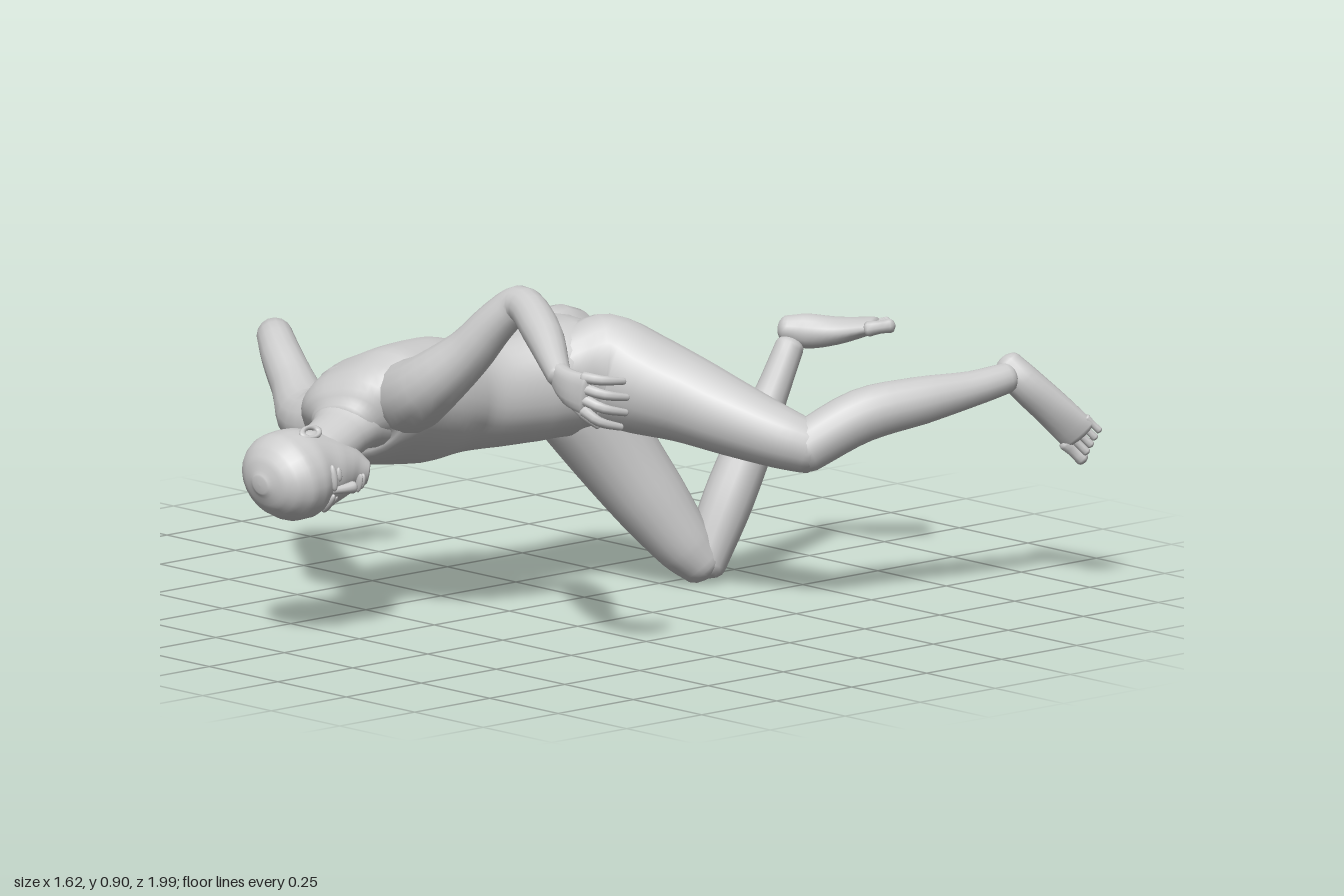
import * as THREE from 'three';

const V = (a) => new THREE.Vector3(a[0], a[1], a[2]);
const material = new THREE.MeshStandardMaterial({ color: 0xcccccc });

// Skin a tube of ellipses over sections [x, y, z, halfWidth, halfHeight, roll], with rounded ends.
function loft(name, sections, up = [0, 1, 0], { sides = 16, steps = 4, round = 0.7, square = 1, shape } = {}) {
  const path = new THREE.CatmullRomCurve3(sections.map(V));
  const size = new THREE.CatmullRomCurve3(sections.map((s) => new THREE.Vector3(s[3], s[4] ?? s[3], s[5] ?? 0)));
  const rings = [];
  const n = (sections.length - 1) * steps;
  const caps = [0.01, 0.4, 0.75, 0.93];
  const add = (t, scale, push) => {
    const tan = path.getTangent(t);
    const s = size.getPoint(t);
    const c = path.getPoint(t).addScaledVector(tan, push * Math.min(s.x, s.y) * round);
    const e1 = V(up).cross(tan).normalize();
    const e2 = tan.clone().cross(e1);
    const a = e1.clone().multiplyScalar(Math.cos(s.z)).addScaledVector(e2, -Math.sin(s.z));
    const b = e2.clone().multiplyScalar(Math.cos(s.z)).addScaledVector(e1, Math.sin(s.z));
    rings.push({ c, a, b, w: s.x * scale, h: s.y * scale, t });
  };
  caps.forEach((k) => add(0, k, -Math.sqrt(1 - k * k)));
  for (let i = 0; i <= n; i++) add(i / n, 1, 0);
  caps.slice().reverse().forEach((k) => add(1, k, Math.sqrt(1 - k * k)));

  const pos = [];
  const index = [];
  const pw = (v) => Math.sign(v) * Math.abs(v) ** square;
  rings.forEach((r, i) => {
    for (let j = 0; j < sides; j++) {
      const q = (j / sides) * Math.PI * 2;
      const k = shape ? shape(q, r.t) : 1;
      const p = r.c.clone().addScaledVector(r.a, r.w * k * pw(Math.cos(q))).addScaledVector(r.b, r.h * k * pw(Math.sin(q)));
      pos.push(p.x, p.y, p.z);
      if (i === rings.length - 1) continue;
      const o = i * sides, m = (j + 1) % sides;
      index.push(o + j, o + m, o + sides + j, o + m, o + sides + m, o + sides + j);
    }
  });
  const g = new THREE.BufferGeometry();
  g.setAttribute('position', new THREE.Float32BufferAttribute(pos, 3));
  g.setIndex(index);
  g.computeVertexNormals();
  const mesh = new THREE.Mesh(g, material);
  mesh.name = name;
  return mesh;
}

function ball(name, p, s, turn = 0) {
  const m = new THREE.Mesh(new THREE.SphereGeometry(1, 18, 12), material);
  m.name = name;
  m.position.set(...p);
  m.scale.set(...s);
  m.rotation.y = turn;
  return m;
}

function group(name, ...parts) {
  const g = new THREE.Group();
  g.name = name;
  g.add(...parts);
  return g;
}

// Head in its own frame: x = its left, y = crown, z = face
function makeHead() {
  const head = group('head', loft('skull', [
    [0, -0.168, 0.078, 0.03, 0.026], [0, -0.14, 0.05, 0.058, 0.06], [0, -0.1, 0.024, 0.082, 0.09],
    [0, -0.05, 0.002, 0.099, 0.11], [0, 0, -0.008, 0.109, 0.123], [0, 0.045, -0.01, 0.107, 0.122],
    [0, 0.085, -0.01, 0.086, 0.1], [0, 0.107, -0.01, 0.06, 0.07], [0, 0.12, -0.01, 0.028, 0.032],
  ], [0, 0, 1], { sides: 24, round: 0.2 }));
  head.add(loft('nose', [[0, -0.025, 0.1, 0.009], [0, -0.06, 0.108, 0.012], [0, -0.083, 0.112, 0.016, 0.014]], [0, 0, 1], { sides: 10 }));
  head.add(ball('upperLip', [0, -0.112, 0.105], [0.026, 0.006, 0.01]));
  head.add(ball('lowerLip', [0, -0.125, 0.102], [0.022, 0.007, 0.01]));
  for (const s of [-1, 1]) {
    head.add(ball('brow', [s * 0.036, -0.02, 0.098], [0.034, 0.01, 0.011], s * 0.4));
    head.add(ball('eye', [s * 0.038, -0.044, 0.094], [0.018, 0.008, 0.006], s * 0.4));
    const ear = new THREE.Mesh(new THREE.TorusGeometry(0.02, 0.007, 8, 16), material);
    ear.name = 'ear';
    ear.scale.set(0.8, 1.35, 1);
    ear.rotation.y = s * 1.2;
    ear.position.set(s * 0.107, -0.03, -0.01);
    head.add(ear, ball('innerEar', [s * 0.1, -0.03, -0.008], [0.01, 0.026, 0.016]));
  }
  const F = new THREE.Vector3(0.93, -0.32, -0.08).normalize();
  const L = new THREE.Vector3(0, -0.08, 1).cross(F).normalize();
  const U = F.clone().cross(L);
  head.quaternion.setFromRotationMatrix(new THREE.Matrix4().makeBasis(L, U, F));
  head.position.set(-0.088, 0.414, 0.875);
  return head;
}

// Palm plus bent digits, each digit as [base, middle, tip]
function makeHand(name, palm, up, digits) {
  const hand = group(name, loft('palm', palm, up, { square: 0.8 }));
  digits.forEach((d, i) => hand.add(loft(i ? 'finger' : 'thumb',
    d.map((p, k) => [...p, [0.015, 0.0125, 0.009][k]]), up, { sides: 8, steps: 3 })));
  return hand;
}

// Foot from heel to ball with five toes fanned across its end; big is the side of the big toe
function makeFoot(name, sections, sole, big) {
  const foot = group(name, loft('sole', sections, sole));
  const end = V(sections.at(-1));
  const dir = end.clone().sub(V(sections.at(-2))).normalize();
  const side = V(sole).cross(dir).normalize().multiplyScalar(big);
  for (let i = 0; i < 5; i++) {
    const r = i ? 0.0125 - i * 0.0007 : 0.018;
    const a = end.clone().addScaledVector(side, 0.041 - i * 0.0215).addScaledVector(dir, -0.004 * i);
    const b = a.clone().addScaledVector(dir, 0.054 - i * 0.003);
    foot.add(loft('toe', [[...a, r * 1.1], [...a.lerp(b, 0.5), r * 0.9], [...b, r]], sole, { sides: 8, steps: 2 }));
  }
  return foot;
}

export function createModel() {
  const model = new THREE.Group();
  model.name = 'recliningFigure';

  // Torso, rolled at the shoulders and level at the hips, with a shallow spine groove
  const groove = (q, t) => 1 - 0.07 * Math.exp(-(((q - Math.PI / 2) / 0.25) ** 2)) * Math.sin(Math.PI * t);
  model.add(loft('torso', [
    [-0.135, 0.51, 0.68, 0.09, 0.065, 0.2], [-0.15, 0.53, 0.635, 0.16, 0.105, 0.34],
    [-0.162, 0.532, 0.56, 0.203, 0.138, 0.4], [-0.167, 0.527, 0.43, 0.195, 0.153, 0.38],
    [-0.16, 0.522, 0.3, 0.17, 0.142, 0.25], [-0.135, 0.517, 0.2, 0.15, 0.133, 0.14],
    [-0.11, 0.53, 0.1, 0.145, 0.143, 0.05], [-0.085, 0.547, 0, 0.162, 0.152, 0],
    [-0.065, 0.53, -0.08, 0.155, 0.122, 0], [-0.06, 0.5, -0.14, 0.1, 0.08, 0],
  ], [0, 1, 0], { sides: 32, square: 0.93, round: 0.5, shape: groove }));
  model.add(
    loft('neck', [
      [-0.16, 0.535, 0.57, 0.15, 0.1, 0.3], [-0.14, 0.515, 0.645, 0.105, 0.08, 0.2],
      [-0.12, 0.485, 0.71, 0.078, 0.065], [-0.1, 0.45, 0.8, 0.074, 0.068],
    ], [0, 1, 0], { sides: 20 }),
    makeHead(),
  );

  // Arms, each beginning deep inside the chest
  model.add(loft('rightArm', [
    [-0.19, 0.51, 0.53, 0.07], [-0.29, 0.485, 0.555, 0.092], [-0.37, 0.468, 0.57, 0.08], [-0.5, 0.525, 0.51, 0.058],
    [-0.59, 0.58, 0.47, 0.051], [-0.67, 0.612, 0.42, 0.045], [-0.735, 0.53, 0.33, 0.046], [-0.775, 0.4, 0.2, 0.03],
  ]));
  model.add(loft('leftArm', [
    [-0.12, 0.545, 0.52, 0.07], [-0.03, 0.575, 0.555, 0.092], [0.06, 0.62, 0.575, 0.082], [0.17, 0.715, 0.54, 0.062],
    [0.24, 0.8, 0.51, 0.052], [0.3, 0.85, 0.49, 0.046], [0.42, 0.812, 0.53, 0.049], [0.58, 0.73, 0.615, 0.031],
  ], [0, 0, 1]));

  // Hands
  const right = [[[-0.76, 0.355, 0.195], [-0.725, 0.32, 0.185], [-0.7, 0.285, 0.14]]];
  const left = [[[0.62, 0.68, 0.615], [0.655, 0.64, 0.6], [0.68, 0.613, 0.575]]];
  for (let i = 0; i < 4; i++) {
    const reach = [0, 0.012, 0.008, -0.01][i];
    right.push([[-0.785, 0.365 - i * 0.024, 0.11], [-0.775, 0.345 - i * 0.027, 0.06 - reach], [-0.733, 0.335 - i * 0.03, 0.03 - reach]]);
    left.push([[0.685, 0.742 - i * 0.028, 0.625], [0.725 + reach, 0.738 - i * 0.035, 0.605], [0.74 + reach, 0.73 - i * 0.039, 0.545]]);
  }
  model.add(makeHand('rightHand', [
    [-0.772, 0.41, 0.21, 0.024, 0.03], [-0.78, 0.365, 0.16, 0.023, 0.042], [-0.782, 0.335, 0.115, 0.018, 0.048],
  ], [0, 1, -0.3], right));
  model.add(makeHand('leftHand', [
    [0.57, 0.735, 0.61, 0.024, 0.03], [0.63, 0.71, 0.625, 0.024, 0.046], [0.685, 0.7, 0.625, 0.018, 0.052],
  ], [0, 1, 0], left));

  // Legs, with the buttocks swelling from the top of each thigh
  model.add(
    loft('rightThigh', [
      [-0.14, 0.54, 0.12, 0.05], [-0.15, 0.57, 0.035, 0.088, 0.1], [-0.15, 0.56, -0.045, 0.1, 0.146],
      [-0.125, 0.45, -0.11, 0.115, 0.13], [-0.085, 0.33, -0.175, 0.112, 0.11], [-0.022, 0.2, -0.245, 0.094],
      [0.035, 0.09, -0.305, 0.073], [0.06, 0.047, -0.335, 0.058],
    ], [0, 1, -0.9], { sides: 20 }),
    loft('rightShin', [
      [0.062, 0.047, -0.345, 0.054], [0.072, 0.2, -0.415, 0.064], [0.08, 0.33, -0.48, 0.06],
      [0.092, 0.45, -0.54, 0.042], [0.097, 0.56, -0.595, 0.036],
    ], [1, 0, 0]),
    loft('leftThigh', [
      [-0.04, 0.54, 0.12, 0.05], [-0.015, 0.57, 0.035, 0.085, 0.1], [0.015, 0.568, -0.045, 0.108, 0.14],
      [0.1, 0.535, -0.11, 0.12, 0.128], [0.2, 0.505, -0.16, 0.108, 0.11], [0.32, 0.465, -0.21, 0.093],
      [0.43, 0.425, -0.27, 0.076], [0.48, 0.405, -0.31, 0.066],
    ], [0, 1, 0], { sides: 20 }),
    loft('leftShin', [
      [0.475, 0.405, -0.3, 0.064], [0.54, 0.477, -0.43, 0.067], [0.602, 0.505, -0.57, 0.06],
      [0.652, 0.525, -0.7, 0.044], [0.675, 0.542, -0.79, 0.038],
    ]),
  );

  // Feet, soles turned up and back
  model.add(makeFoot('rightFoot', [
    [0.075, 0.6, -0.607, 0.036, 0.034], [0.11, 0.595, -0.64, 0.043, 0.044],
    [0.17, 0.598, -0.69, 0.051, 0.034], [0.243, 0.615, -0.74, 0.055, 0.02],
  ], [0, 1, 0], -1));
  model.add(makeFoot('leftFoot', [
    [0.658, 0.57, -0.812, 0.037, 0.034], [0.685, 0.53, -0.835, 0.045, 0.043],
    [0.725, 0.462, -0.893, 0.049, 0.034], [0.763, 0.393, -0.95, 0.053, 0.02],
  ], [-0.17, 0.06, -0.2], 1));
  return model;
}
